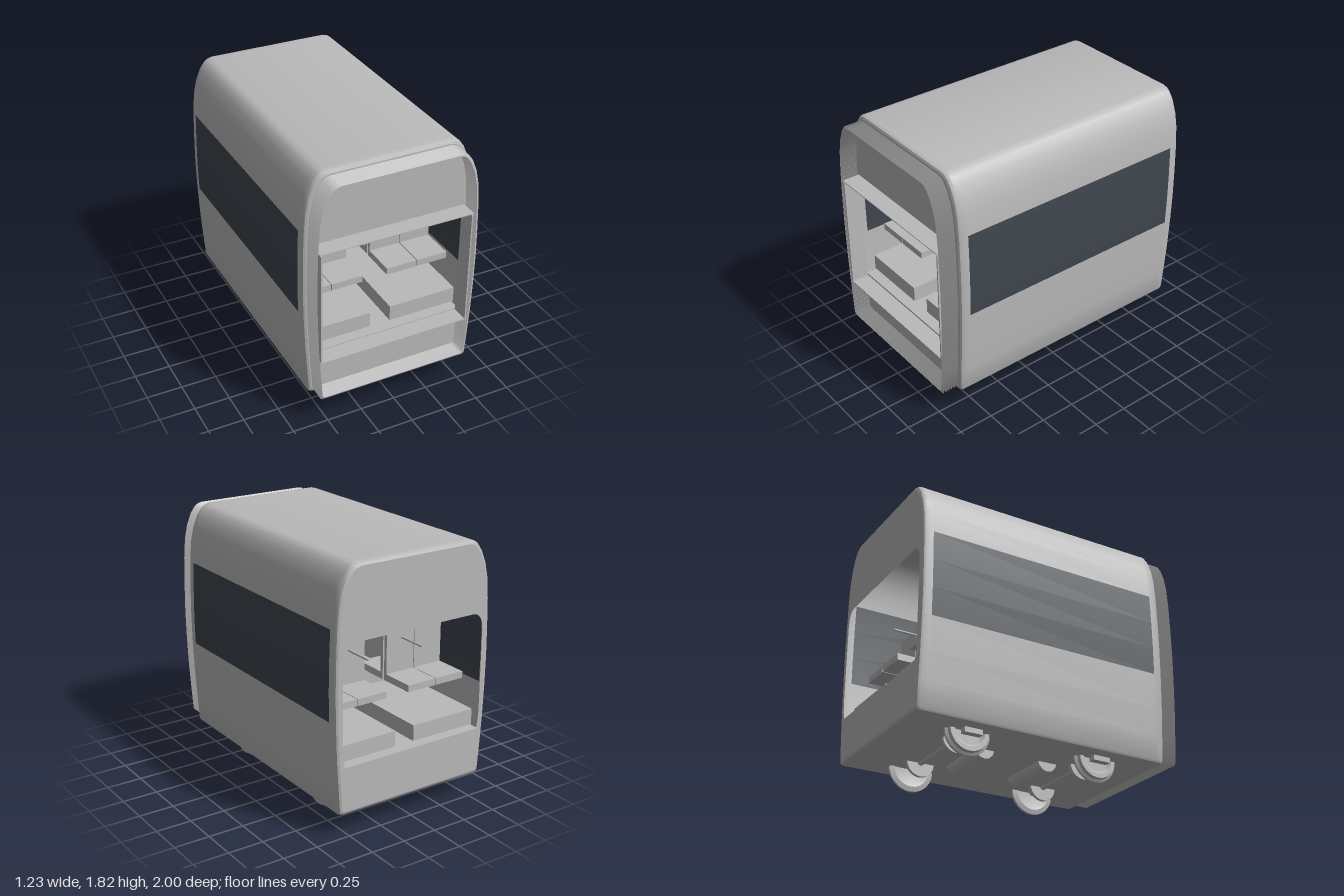
import * as THREE from 'three';
import { toCreasedNormals } from 'three/addons/utils/BufferGeometryUtils.js';

const bodyGrey = new THREE.MeshStandardMaterial({ color: 0xbababa, side: THREE.DoubleSide });
bodyGrey.name = 'body grey';
const darkGlass = new THREE.MeshStandardMaterial({ color: 0x3f464e, side: THREE.DoubleSide });
darkGlass.name = 'dark glass';

// Right half of the car's cross-section, bottom to top
const HALF = [
  [0.555, 0.16], [0.57, 0.165], [0.578, 0.18], [0.59, 0.35], [0.603, 0.55], [0.612, 0.8],
  [0.615, 1.0], [0.612, 1.2], [0.605, 1.41], [0.592, 1.56], [0.57, 1.66], [0.535, 1.745],
  [0.5, 1.793], [0.475, 1.81], [0.44, 1.82],
];
const OUTLINE = [...HALF, ...HALF.map(([x, y]) => [-x, y]).reverse()];
const MID_Y = 0.99;
const CENTRE_Z = -0.065;

function section(inset) {
  const sx = 1 - inset / 0.6, sy = 1 - inset / 0.83;
  return OUTLINE.map(([x, y]) => [x * sx, MID_Y + (y - MID_Y) * sy]);
}

// Skin through sections [z, inset]; isGlass picks the quads of the side windows
function loft(rings, isGlass = () => false) {
  const n = OUTLINE.length, pos = [], solid = [], glass = [];
  for (const [z, inset] of rings) for (const [x, y] of section(inset)) pos.push(x, y, z);
  for (let i = 0; i < rings.length - 1; i++) {
    for (let j = 0; j < n; j++) {
      const k = (j + 1) % n, a = i * n + j, b = i * n + k, c = b + n, d = a + n;
      const yMid = (OUTLINE[j][1] + OUTLINE[k][1]) / 2;
      const zMid = (rings[i][0] + rings[i + 1][0]) / 2;
      (isGlass(yMid, zMid, j === HALF.length - 1) ? glass : solid).push(a, b, c, a, c, d);
    }
  }
  const g = new THREE.BufferGeometry();
  g.setAttribute('position', new THREE.Float32BufferAttribute(pos, 3));
  g.setIndex([...solid, ...glass]);
  g.addGroup(0, solid.length, 0);
  g.addGroup(solid.length, glass.length, 1);
  return toCreasedNormals(g, 0.5);
}

// End wall with the rounded gangway opening
function endWallGeometry(inset) {
  const shape = new THREE.Shape(section(inset).map(([x, y]) => new THREE.Vector2(x, y)));
  const hole = new THREE.Path();
  hole.moveTo(-0.53, 0.49);
  hole.lineTo(0.53, 0.49);
  hole.quadraticCurveTo(0.55, 0.5, 0.556, 0.62);
  hole.lineTo(0.556, 1.2);
  hole.quadraticCurveTo(0.55, 1.32, 0.47, 1.32);
  hole.lineTo(-0.47, 1.32);
  hole.quadraticCurveTo(-0.55, 1.32, -0.556, 1.2);
  hole.lineTo(-0.556, 0.62);
  hole.quadraticCurveTo(-0.55, 0.5, -0.53, 0.49);
  shape.holes.push(hole);
  return new THREE.ShapeGeometry(shape, 8);
}

export function createModel() {
  const model = new THREE.Group();
  model.name = 'railCarSection';

  function add(name, geometry, x = 0, y = 0, z = 0, material = bodyGrey, parent = model) {
    const mesh = new THREE.Mesh(geometry, material);
    mesh.name = name;
    mesh.position.set(x, y, z);
    parent.add(mesh);
    return mesh;
  }
  // Box given by its limits on each axis
  function box(name, x0, x1, y0, y1, z0, z1, material) {
    return add(name, new THREE.BoxGeometry(x1 - x0, y1 - y0, z1 - z0),
      (x0 + x1) / 2, (y0 + y1) / 2, (z0 + z1) / 2, material);
  }
  const crossCylinder = (r, length, sides) =>
    new THREE.CylinderGeometry(r, r, length, sides).rotateZ(Math.PI / 2);

  // Body shell with long side windows
  const shell = loft(
    [[-1, 0.022], [-0.993, 0.008], [-0.975, 0], [-0.93, 0], [0.8, 0], [0.845, 0], [0.863, 0.008], [0.87, 0.022]],
    (y, z) => y > 0.8 && y < 1.41 && z > -0.93 && z < 0.8);
  add('bodyShell', shell, 0, 0, 0, [bodyGrey, darkGlass]);
  add('frontWall', endWallGeometry(0.022), 0, 0, 0.87);
  add('rearWall', endWallGeometry(0.022).rotateY(Math.PI), 0, 0, -1);

  // Pleated gangway bellows
  const pleats = 6, rings = [];
  for (let i = 0; i <= pleats * 2; i++) {
    rings.push([0.87 + (0.13 * i) / (pleats * 2), i % 2 ? 0.025 : 0.042]);
  }
  add('bellows', loft(rings), 0, 0, 0, [bodyGrey, darkGlass]);

  // Gangway lining
  box('gangwaySill', -0.55, 0.55, 0.482, 0.49, 0.87, 0.995);
  box('gangwayHeader', -0.55, 0.55, 1.318, 1.324, 0.87, 0.995);
  for (const s of [-1, 1]) {
    add('gangwaySide', new THREE.BoxGeometry(0.01, 0.825, 0.125), s * 0.54, 0.897, 0.932);
  }
  box('floor', -0.565, 0.565, 0.47, 0.488, -0.99, 0.86);

  // Two bays: raised plinths, back-to-back seats and running gear
  for (const bay of [1, -1]) {
    const z = CENTRE_Z + bay * 0.485;
    for (const s of [-1, 1]) {
      add('seatPlinth', new THREE.BoxGeometry(0.5, 0.112, 0.72), s * 0.325, 0.544, z);
      for (const x of [0.205, 0.438]) {
        for (const face of [-1, 1]) {
          add('seatCushion', new THREE.BoxGeometry(0.228, 0.048, 0.25), s * x, 0.827, z + face * 0.15);
          add('seatBack', new THREE.BoxGeometry(0.228, 0.385, 0.025), s * x, 0.995, z + face * 0.02);
        }
      }
      add('handrail', new THREE.CylinderGeometry(0.008, 0.008, 0.5, 10).rotateX(Math.PI / 2), s * 0.22, 1.09, z);

      // Wheel with inner flange, brake disc and axle box
      const profile = [[0, -0.02], [0.1, -0.02], [0.13, -0.03], [0.163, -0.022], [0.163, -0.005],
        [0.145, 0.005], [0.14, 0.03], [0.11, 0.03], [0.09, 0.01], [0, 0.01]];
      const wheel = new THREE.LatheGeometry(profile.map(([r, h]) => new THREE.Vector2(r, h)), 24);
      wheel.rotateZ(-s * Math.PI / 2);
      add('wheel', toCreasedNormals(wheel, 0.5), s * 0.41, 0.165, z);
      add('brakeDisc', crossCylinder(0.1, 0.025, 20), s * 0.255, 0.165, z);
      add('axleBox', new THREE.BoxGeometry(0.05, 0.04, 0.13), s * 0.465, 0.145, z);
    }
    add('axle', crossCylinder(0.022, 0.9, 12), 0, 0.163, z);
    add('motor', crossCylinder(0.072, 0.4, 12), 0, 0.168, CENTRE_Z + bay * 0.242);
  }

  // Ceiling-hung passenger display
  box('displayCase', -0.165, 0.165, 1.162, 1.28, CENTRE_Z - 0.02, CENTRE_Z + 0.02);
  for (const s of [-1, 1]) {
    add('displayScreen', new THREE.BoxGeometry(0.3, 0.094, 0.004), 0, 1.221, CENTRE_Z + s * 0.021, darkGlass);
  }
  add('displayHanger', new THREE.CylinderGeometry(0.008, 0.008, 0.54, 10), 0, 1.55, CENTRE_Z);

  return model;
}
